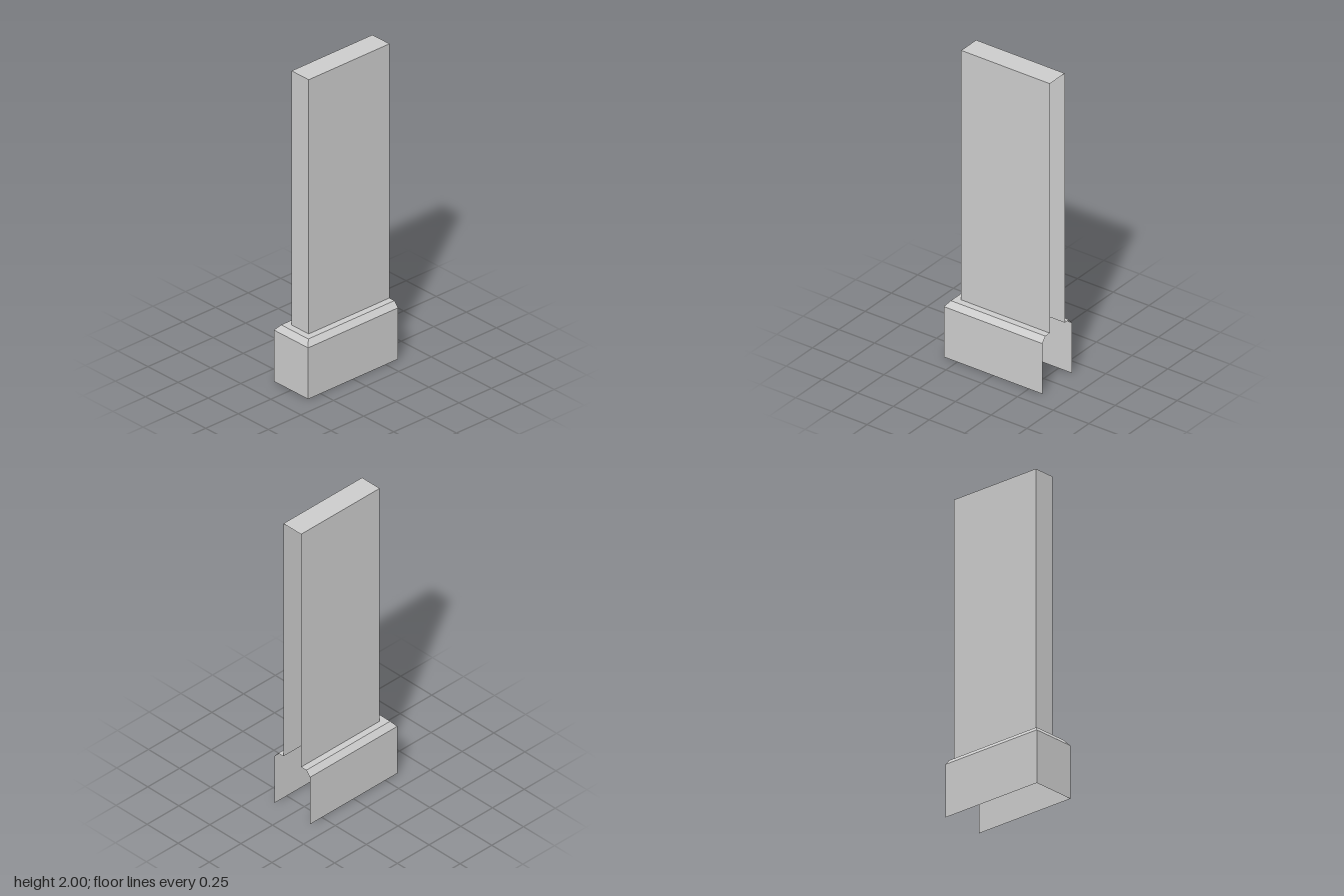
import * as THREE from 'three';

const BACK = -0.345;
const material = new THREE.MeshStandardMaterial({
  color: 0xcccccc, flatShading: true, side: THREE.DoubleSide,
});

// Three-sided outline, open at the back: half width, front z, height
const outline = ([w, front, y]) => [[w, y, BACK], [w, y, front], [-w, y, front], [-w, y, BACK]];

// Flat-shaded mesh from quads with counter-clockwise corners
function quadMesh(name, quads) {
  const points = quads.flatMap(([a, b, c, d]) => [a, b, c, a, c, d]).flat();
  const geometry = new THREE.BufferGeometry();
  geometry.setAttribute('position', new THREE.Float32BufferAttribute(points, 3));
  geometry.computeVertexNormals();
  const mesh = new THREE.Mesh(geometry, material);
  mesh.name = name;
  return mesh;
}

// Walls joining two outlines along the right, front and left sides
function band(name, lower, upper) {
  const lo = outline(lower), hi = outline(upper);
  return quadMesh(name, [0, 1, 2].map((i) => [lo[i + 1], lo[i], hi[i], hi[i + 1]]));
}

export function createModel() {
  const group = new THREE.Group();
  group.name = 'pilaster';

  // Outlines from the ground up
  const foot = [0.142, 0.345, 0];
  const plinthTop = [0.142, 0.345, 0.33];
  const chamferTop = [0.113, 0.317, 0.365];
  const shaftFoot = [0.071, 0.275, 0.365];
  const shaftTop = [0.071, 0.275, 2];

  group.add(
    band('plinth', foot, plinthTop),
    band('plinthChamfer', plinthTop, chamferTop),
    band('plinthLedge', chamferTop, shaftFoot),
    band('shaft', shaftFoot, shaftTop),
    quadMesh('shaftCap', [outline(shaftTop).reverse()]),
  );
  return group;
}
